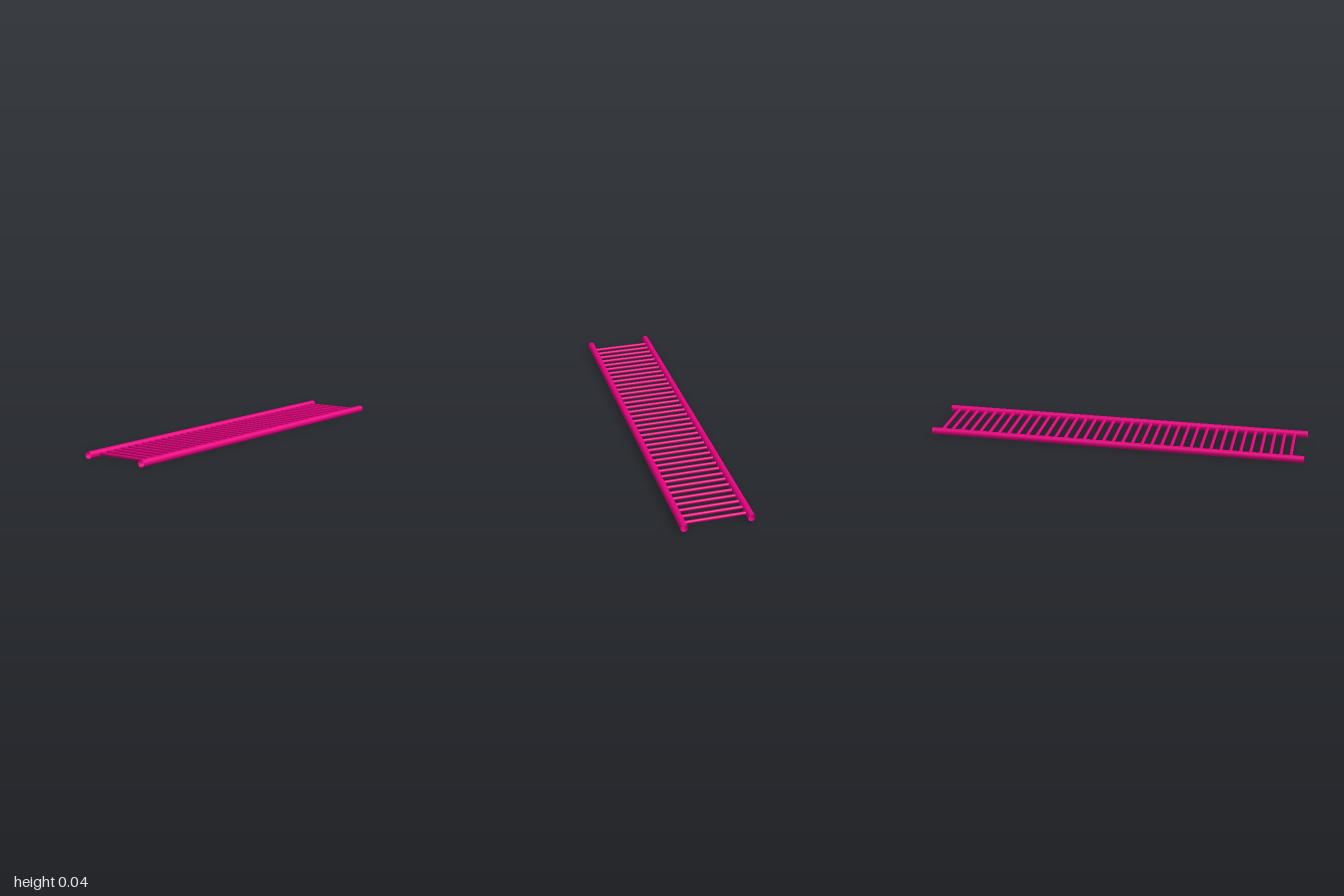
import * as THREE from 'three';

const RAIL_X = 0.168, RAIL_R = 0.0185, RUNG_R = 0.0086;
const RUNGS = 37, FIRST_Z = -0.952, LAST_Z = 0.929;

export function createModel() {
  const ladder = new THREE.Group();
  ladder.name = 'ladder';
  const material = new THREE.MeshStandardMaterial({ color: 0xe6007e, side: THREE.DoubleSide });

  // Side rails: open tubes running front to back
  const railGeometry = new THREE.CylinderGeometry(RAIL_R, RAIL_R, 2, 32, 1, true).rotateX(Math.PI / 2);
  for (const side of [1, -1]) {
    const rail = new THREE.Mesh(railGeometry, material);
    rail.name = side > 0 ? 'leftRail' : 'rightRail';
    rail.position.set(side * RAIL_X, RAIL_R, 0);
    ladder.add(rail);
  }

  // Rungs: thin tubes ending on the rail axes
  const rungGeometry = new THREE.CylinderGeometry(RUNG_R, RUNG_R, RAIL_X * 2, 24, 1, true).rotateZ(Math.PI / 2);
  const rungs = new THREE.Group();
  rungs.name = 'rungs';
  for (let i = 0; i < RUNGS; i++) {
    const rung = new THREE.Mesh(rungGeometry, material);
    rung.name = `rung${i + 1}`;
    rung.position.set(0, RAIL_R, THREE.MathUtils.lerp(FIRST_Z, LAST_Z, i / (RUNGS - 1)));
    rungs.add(rung);
  }
  ladder.add(rungs);
  return ladder;
}
